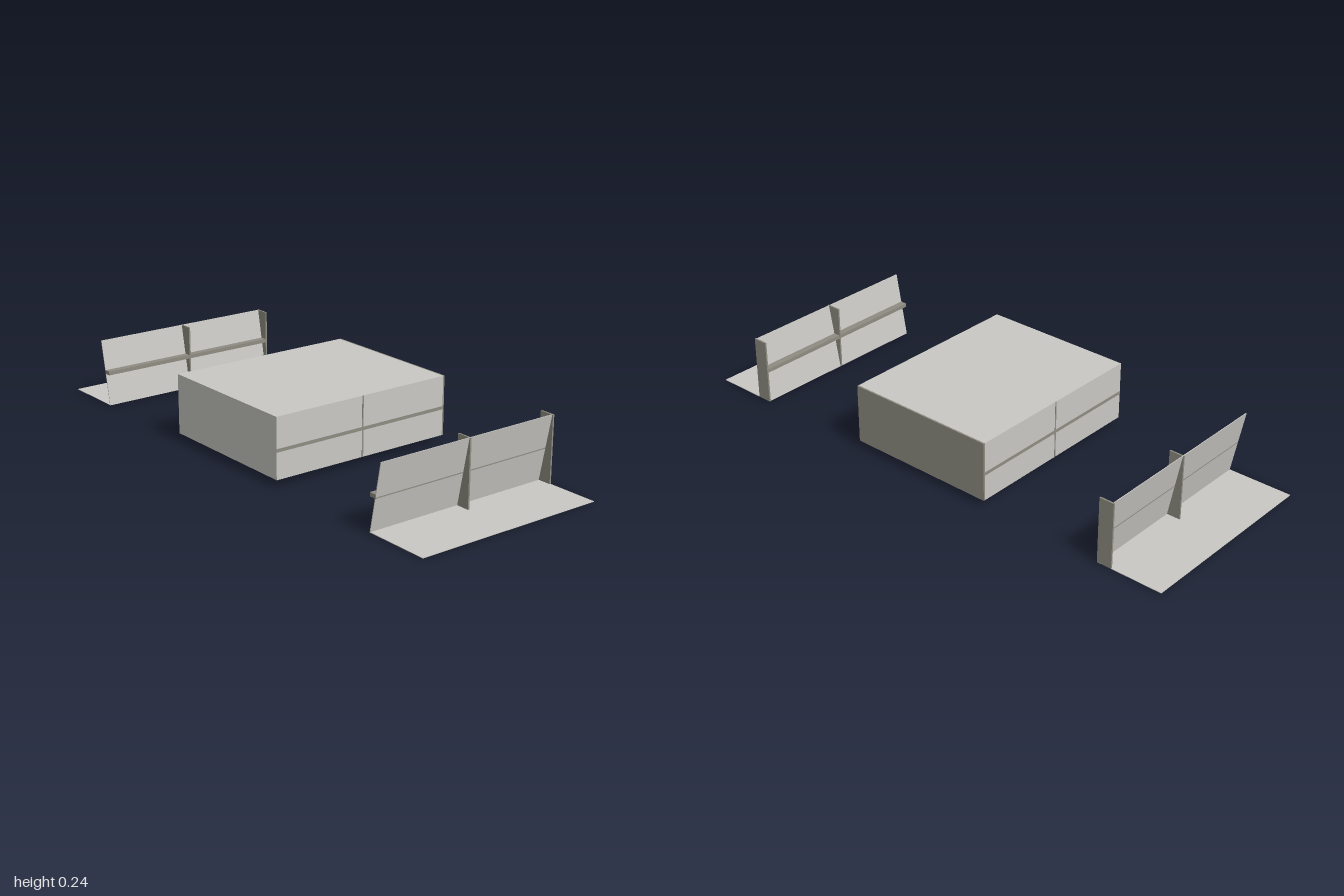
import * as THREE from 'three';

const panelMat = new THREE.MeshStandardMaterial({ color: 0xc9c8c3 });
panelMat.name = 'light grey panel';
const ribMat = new THREE.MeshStandardMaterial({ color: 0x8f8d82 });
ribMat.name = 'olive grey rib';
const footMat = new THREE.MeshStandardMaterial({ color: 0x1c1c1c });
footMat.name = 'dark foot';

const TOP = 0.243, BASE = 0.004, HALF = 0.36, T = 0.006;
const FEET_Z = [0.143, -0.217];

// Box given by its minimum and maximum on each axis
function block(parent, name, mat, [x0, x1], [y0, y1], [z0, z1]) {
  const mesh = new THREE.Mesh(
    new THREE.BoxGeometry(Math.abs(x1 - x0), y1 - y0, z1 - z0), mat);
  mesh.position.set((x0 + x1) / 2, (y0 + y1) / 2, (z0 + z1) / 2);
  mesh.name = name;
  parent.add(mesh);
}

// Central case with its flush ribs, rails and back plate
function makeCase() {
  const g = new THREE.Group();
  g.name = 'centralCase';
  const w = 0.287, y = [0.026, TOP];
  block(g, 'caseBody', panelMat, [-w, w], y, [-HALF + T, HALF]);
  block(g, 'backPlate', ribMat, [-w, w], y, [-HALF, -HALF + T]);
  for (const s of [-1, 1]) {
    const skin = [s * (w - 0.002), s * (w + 0.0008)];
    block(g, 'sideRib', ribMat, skin, y, [0, T]);
    block(g, 'sideRail', ribMat, skin, [0.121, 0.133], [-HALF + T, HALF]);
  }
  for (const z of FEET_Z)
    block(g, 'undersideSeam', footMat, [-0.12, 0.12], [0.0252, 0.028], [z - 0.002, z + 0.002]);
  return g;
}

// Angled side panel with a floor flange, ribs, rail and feet
function makeSide(s) {
  const g = new THREE.Group();
  g.name = s > 0 ? 'leftSidePanel' : 'rightSidePanel';
  const profile = new THREE.Shape([
    [0.758, BASE - 0.001], [1, BASE - 0.001], [1, BASE + 0.001],
    [0.761, BASE + 0.001], [0.807, TOP], [0.804, TOP],
  ].map(([x, y]) => new THREE.Vector2(s * x, y)));
  const sheet = new THREE.Mesh(
    new THREE.ExtrudeGeometry(profile, { depth: 2 * HALF - 0.001, bevelEnabled: false }), panelMat);
  sheet.position.z = -HALF + 0.001;
  sheet.name = 'angledSheet';
  g.add(sheet);

  for (const z of [-HALF, 0])
    block(g, 'uprightRib', ribMat, [s * 0.755, s * 0.81], [BASE, TOP], [z, z + T]);
  block(g, 'guideRail', ribMat, [s * 0.757, s * 0.784], [0.12, 0.134], [-HALF, HALF]);

  for (const z of FEET_Z) {
    block(g, 'foot', footMat, [s * 0.88, s * 0.925], [0, 0.0035], [z - 0.0275, z + 0.0275]);
    block(g, 'footSeam', footMat, [s * 0.81, s * 0.86], [0.0022, 0.0035], [z - 0.002, z + 0.002]);
  }
  return g;
}

export function createModel() {
  const model = new THREE.Group();
  model.name = 'caseWithSidePanels';
  model.add(makeCase(), makeSide(1), makeSide(-1));
  return model;
}
